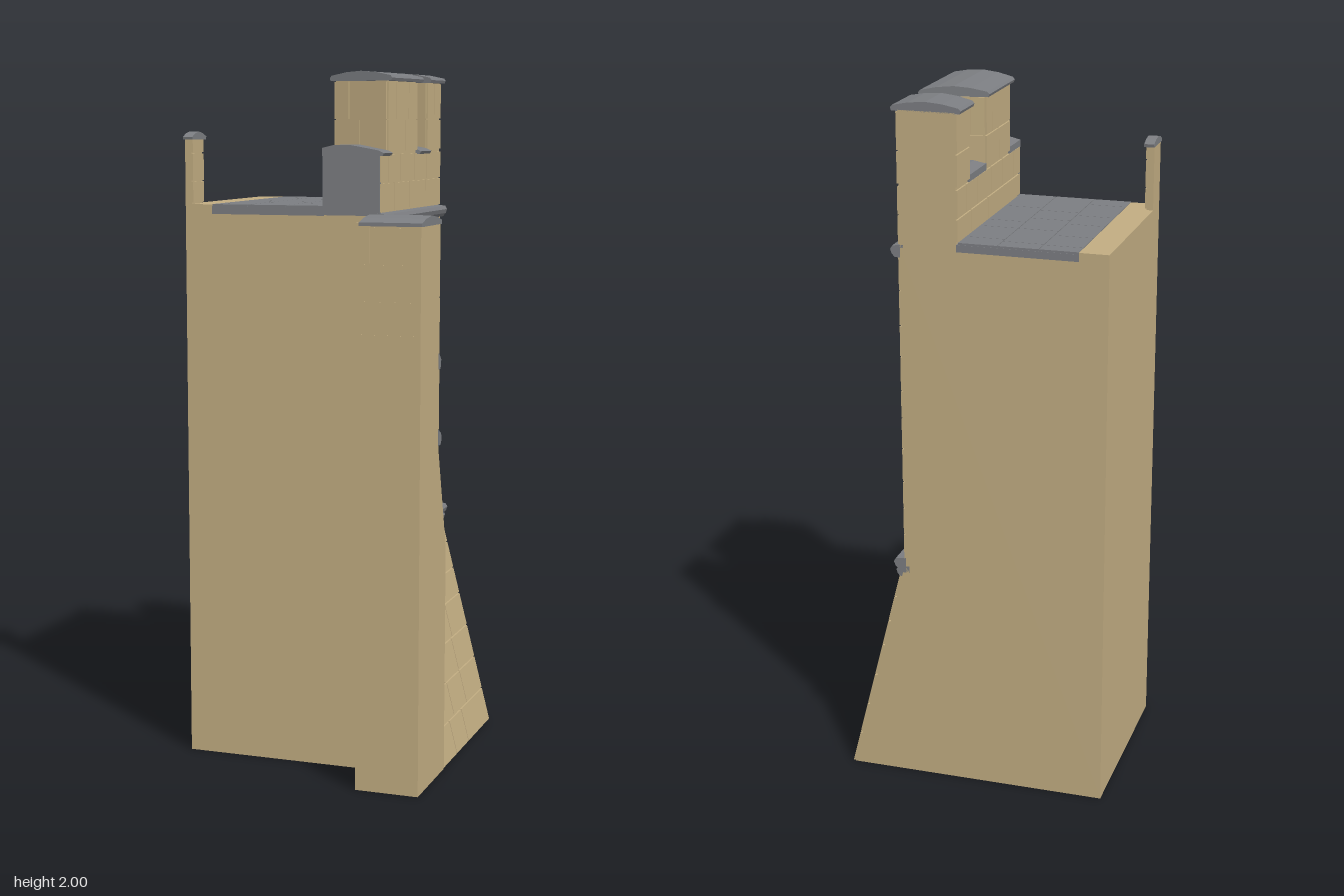
import * as THREE from 'three';
import { mergeGeometries } from 'three/addons/utils/BufferGeometryUtils.js';

const stone = new THREE.MeshStandardMaterial({ color: 0xc2ad82, flatShading: true });
const slate = new THREE.MeshStandardMaterial({ color: 0x7c7e82, flatShading: true });

export function createModel() {
  const group = new THREE.Group();
  const add = (name, geo, mat) => {
    const m = new THREE.Mesh(geo, mat);
    m.name = name;
    group.add(m);
  };
  const lerp = THREE.MathUtils.lerp;
  const shapeOf = pts => new THREE.Shape(pts.map(p => new THREE.Vector2(...p)));

  // xy profile run along z; the ends may be splayed as functions of x
  const prismZ = (name, pts, z0, z1, mat) => {
    const geo = new THREE.ExtrudeGeometry(shapeOf(pts), { depth: 1, bevelEnabled: false });
    const p = geo.attributes.position;
    const at = (z, x) => (typeof z === 'function' ? z(x) : z);
    for (let i = 0; i < p.count; i++) {
      const x = p.getX(i);
      p.setZ(i, lerp(at(z0, x), at(z1, x), p.getZ(i)));
    }
    geo.computeVertexNormals();
    add(name, geo, mat);
  };

  // zy profile run along x
  const prismX = (name, pts, x0, x1, mat) => {
    const geo = new THREE.ExtrudeGeometry(shapeOf(pts.map(([z, y]) => [-z, y])), { depth: x1 - x0, bevelEnabled: false });
    geo.rotateY(Math.PI / 2).translate(x0, 0, 0);
    add(name, geo, mat);
  };

  const box = (name, x0, x1, y0, y1, z0, z1, mat) => prismZ(name, [[x0, y0], [x1, y0], [x1, y1], [x0, y1]], z0, z1, mat);

  // Small seeded generator for brick lengths
  let seed = 7;
  const rnd = () => (seed = (seed * 16807) % 2147483647) / 2147483647;

  // Brick courses on a face running left to right from A to B (x, z) as seen from outside
  const bricks = (name, A, B, rows, size = 0.13, push = () => 0) => {
    const dx = B[0] - A[0], dz = B[1] - A[1], len = Math.hypot(dx, dz);
    const ux = dx / len, uz = dz / len, g = 0.002, parts = [];
    for (let r = 0; r < rows.length - 1; r++) {
      let u = 0, first = r % 2 ? 0.5 : 1;
      while (u < len - 0.001) {
        let end = u + size * first * (0.75 + 0.5 * rnd());
        if (len - end < size * 0.4) end = len;
        const geo = new THREE.BoxGeometry(1, 1, 1), p = geo.attributes.position;
        for (let i = 0; i < p.count; i++) {
          const s = lerp(u + (u > 0 ? g : 0), end - (end < len ? g : 0), p.getX(i) + 0.5);
          const y = lerp(rows[r] + g, rows[r + 1] - g, p.getY(i) + 0.5);
          const d = push(y) + (p.getZ(i) > 0 ? 0.005 : -0.005);
          p.setXYZ(i, A[0] + ux * s - uz * d, y, A[1] + uz * s + ux * d);
        }
        geo.computeVertexNormals();
        parts.push(geo);
        u = end;
        first = 1;
      }
    }
    add(name, mergeGeometries(parts), stone);
  };

  // Wall body with a raised strip along its left edge
  prismZ('wallBody', [[-0.383, 0], [0.2, 0], [0.2, 1.6], [-0.3, 1.6], [-0.3, 1.625], [-0.383, 1.625]], -0.383, 0.2, stone);
  bricks('wallBricks', [0.2, 0.2], [0.2, -0.383], [0.68, 0.76, 0.84, 0.92, 1.02, 1.11, 1.19, 1.29, 1.38, 1.48, 1.575]);

  // Sloping foot of the wall
  const slope = y => 0.165 * (1 - y / 0.65);
  prismZ('wallFoot', [[0.19, 0], [0.373, 0], [0.21, 0.64], [0.19, 0.64]], -0.383, 0.13, stone);
  bricks('footBricks', [0.21, 0.125], [0.21, -0.383], [0, 0.1, 0.2, 0.3, 0.4, 0.48, 0.56, 0.63], 0.15, slope);

  // Moulded string courses
  const string = (name, y, out, z1) => prismZ(name,
    [[0.19, y], [out - 0.013, y], [out - 0.004, y + 0.01], [out, y + 0.022], [out - 0.006, y + 0.032], [0.19, y + 0.036]], -0.383, z1, slate);
  string('upperStringCourse', 1.573, 0.228, 0.205);
  string('lowerStringCourse', 0.625, 0.23, 0.14);
  string('lowerStringCourseTop', 0.65, 0.237, 0.14);

  // Walkway paving in three staggered columns
  box('walkwayBed', -0.3, 0.04, 1.598, 1.62, -0.383, 0.202, slate);
  const joints = [[-0.335, -0.23, -0.1, 0, 0.135], [-0.33, -0.185, -0.065, 0.03], [-0.31, -0.185, -0.11, 0.055]];
  const cols = [-0.3, -0.19, -0.075, 0.036];
  joints.forEach((cuts, c) => {
    const zs = [-0.383, ...cuts, 0.203];
    for (let i = 0; i < zs.length - 1; i++)
      box('pavingSlab', cols[c] + 0.001, cols[c + 1] - 0.001, 1.6, 1.626, zs[i] + 0.001, zs[i + 1] - 0.001, slate);
  });

  // Parapet with splayed merlons
  const X0 = 0.04, X1 = 0.2;
  const splay = (zin, zout) => x => lerp(zin, zout, (x - 0.03) / 0.185);
  box('parapet', X0, X1, 1.6, 1.77, -0.383, 0.2, stone);
  bricks('parapetBricks', [X1, 0.2], [X1, -0.383], [1.608, 1.69, 1.77]);
  bricks('parapetInnerBricks', [X0, -0.383], [X0, 0.2], [1.626, 1.69, 1.77]);
  box('parapetEndPlate', 0.036, 0.204, 1.6, 1.775, 0.19, 0.204, slate);
  const capProfile = [[0.027, 1.972], [0.217, 1.972], [0.22, 1.98], [0.215, 1.987], [0.17, 1.996], [0.122, 2],
    [0.075, 1.996], [0.03, 1.987], [0.024, 1.98]];
  const rows = [1.775, 1.865, 1.972];
  // Inner and outer z limits of each merlon's coping
  [[-0.383, -0.383, -0.263, -0.235], [-0.132, -0.16, 0.11, 0.142]].forEach(([a, b, c, d], i) => {
    const inset = i ? 0.012 : 0;
    const z0 = splay(a + inset, b + inset), z1 = splay(c - 0.012, d - 0.012);
    prismZ('merlon', [[X0, 1.76], [X1, 1.76], [X1, 1.975], [X0, 1.975]], z0, z1, stone);
    prismZ('merlonCoping', capProfile, splay(a, b), splay(c, d), slate);
    bricks('merlonOuterBricks', [X1, z1(X1)], [X1, z0(X1)], rows);
    bricks('merlonInnerBricks', [X0, z0(X0)], [X0, z1(X0)], rows);
    bricks('merlonFrontBricks', [X0, z1(X0)], [X1, z1(X1)], rows, 0.09);
    if (i) bricks('merlonBackBricks', [X1, z0(X1)], [X0, z0(X0)], rows, 0.09);
  });
  // Sills between and beside the merlons
  const sill = [[0.036, 1.765], [0.212, 1.765], [0.217, 1.773], [0.2, 1.781], [0.12, 1.795], [0.07, 1.795], [0.036, 1.787]];
  prismZ('embrasureSill', sill, splay(-0.28, -0.25), splay(-0.12, -0.145), slate);
  prismZ('endSill', sill, splay(0.095, 0.125), 0.205, slate);

  // Buttress: wide foot, sloped shoulder, narrow shaft
  prismX('buttress', [[0.38, 0], [0.123, 0], [0.123, 0.66], [0.203, 0.95], [0.203, 1.59], [0.38, 1.59]], 0.195, 0.38, stone);
  bricks('buttressFrontBricks', [0.203, 0.376], [0.38, 0.376], [1.24, 1.29, 1.38, 1.48, 1.58], 0.09);
  bricks('buttressBackBricks', [0.38, 0.206], [0.203, 0.206], [1.01, 1.1, 1.19, 1.29, 1.38, 1.48, 1.58], 0.09);
  const band = (name, y, out) => prismX(name,
    [[0.21, y], [out + 0.008, y], [out, y + 0.012], [out, y + 0.026], [out + 0.007, y + 0.034], [0.21, y + 0.045]], 0.2, 0.382, slate);
  band('buttressLowerBand', 0.965, 0.182);
  band('buttressUpperBand', 1.18, 0.19);
  prismX('buttressCoping', [[0.384, 1.582], [0.384, 1.592], [0.34, 1.603], [0.29, 1.609], [0.24, 1.603], [0.197, 1.593], [0.197, 1.582]],
    0.205, 0.383, slate);

  // Thin post on the left edge
  box('edgePost', -0.383, -0.364, 1.62, 1.81, 0.122, 0.2, stone);
  bricks('edgePostBricks', [-0.364, 0.2], [-0.364, 0.122], [1.627, 1.69, 1.77, 1.81], 0.08);
  prismX('edgePostCoping', [[0.21, 1.808], [0.212, 1.816], [0.19, 1.826], [0.163, 1.831], [0.135, 1.826], [0.111, 1.817], [0.113, 1.808]],
    -0.384, -0.355, slate);

  return group;
}
